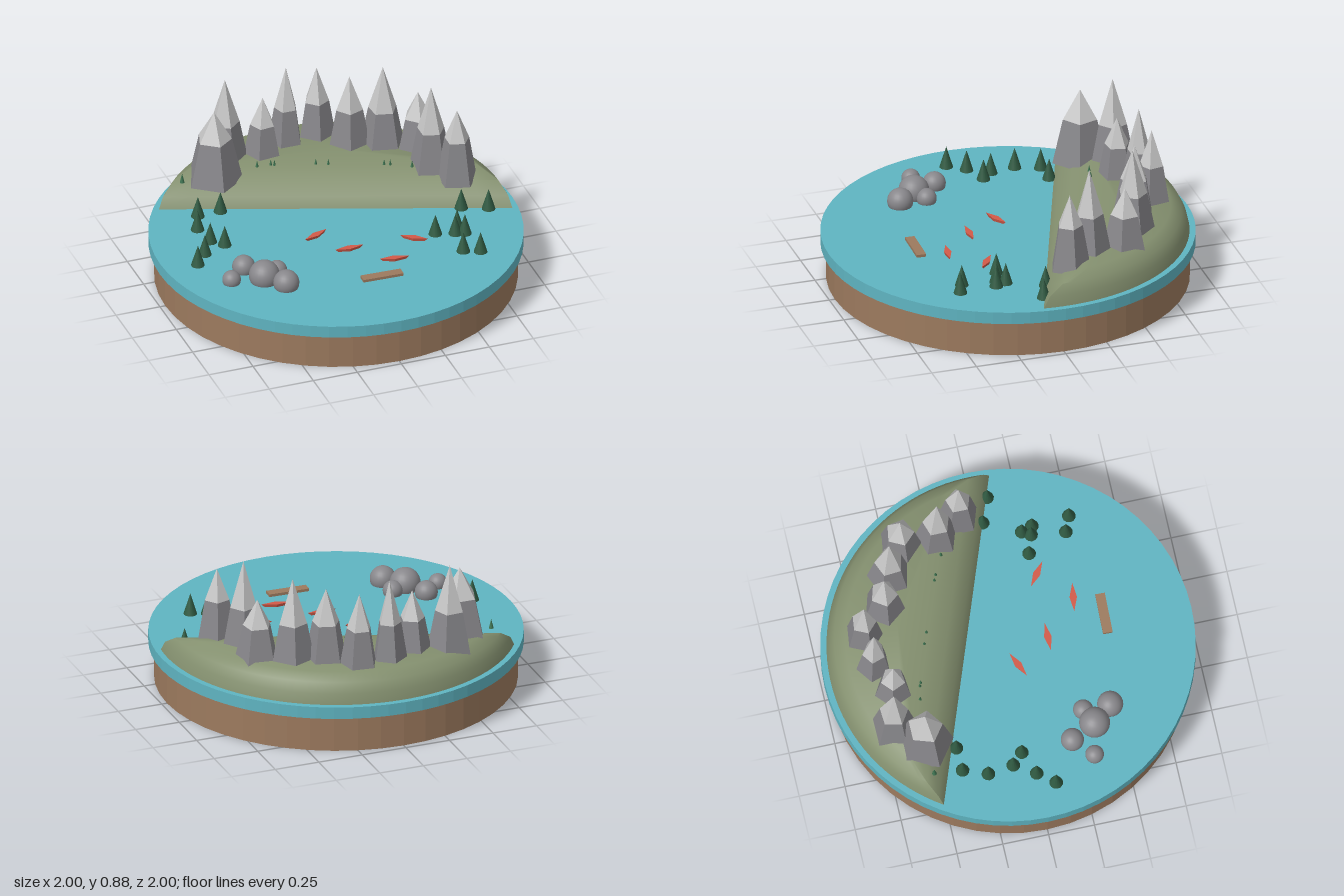
import * as THREE from 'three';
import { toCreasedNormals } from 'three/addons/utils/BufferGeometryUtils.js';

const WATER_Y = 0.267;

function flat(geo) {
  const g = geo.toNonIndexed();
  g.computeVertexNormals();
  return g;
}

// Half-moon plateau: outline rings of an arc closed by a chord, inset step by step
function shoreGeometry() {
  const rings = [ // y, inset from arc, inset from chord
    [WATER_Y, 0, 0], [0.325, 0.013, 0.03], [0.38, 0.042, 0.1], [0.417, 0.1, 0.2]
  ];
  const R = 0.967, chordDist = 0.223, facing = Math.atan2(-0.9405, 0.34);
  const ARC = 48, CHORD = 12, N = ARC + CHORD;
  const pos = [], index = [];
  for (const [y, dArc, dChord] of rings) {
    const r = R - dArc, half = Math.acos((chordDist + dChord) / r);
    const at = (a) => new THREE.Vector3(r * Math.cos(a), y, r * Math.sin(a));
    const start = at(facing - half), end = at(facing + half);
    for (let i = 0; i < ARC; i++) pos.push(...at(facing - half + (2 * half * i) / ARC).toArray());
    for (let i = 0; i < CHORD; i++) pos.push(...end.clone().lerp(start, i / CHORD).toArray());
  }
  const top = (rings.length - 1) * N, centre = rings.length * N;
  pos.push(0.2, 0.418, -0.56);
  for (let i = 0; i < N; i++) {
    const j = (i + 1) % N;
    for (let k = 0; k < top; k += N) {
      index.push(k + i, k + N + i, k + j, k + N + i, k + N + j, k + j);
    }
    index.push(centre, top + j, top + i);
  }
  const g = new THREE.BufferGeometry();
  g.setAttribute('position', new THREE.Float32BufferAttribute(pos, 3));
  g.setIndex(index);
  return toCreasedNormals(g, 1.0);
}

export function createModel() {
  const root = new THREE.Group();
  const mat = (name, color) => {
    const m = new THREE.MeshStandardMaterial({ color });
    m.name = name;
    return m;
  };
  const earth = mat('earth brown', 0x9c7a5e);
  const water = mat('water blue', 0x5fb4c1);
  const grass = mat('moss green', 0x84906f);
  const stone = mat('stone grey', 0x88878b);
  const snow = mat('snow', 0xc8c8c8);
  const pine = mat('pine green', 0x305a42);
  const sapling = mat('sapling green', 0x3f7452);
  const red = mat('boat red', 0xd25a48);

  const add = (name, geo, material, x = 0, y = 0, z = 0, parent = root) => {
    const m = new THREE.Mesh(geo, material);
    m.name = name;
    m.position.set(x, y, z);
    parent.add(m);
    return m;
  };

  // Ground disc, lake and raised shore
  add('groundDisc', flat(new THREE.CylinderGeometry(0.97, 0.97, 0.2, 48)), earth, 0, 0.1, 0);
  add('lake', flat(new THREE.CylinderGeometry(1, 1, WATER_Y - 0.2, 64)), water, 0, (WATER_Y + 0.2) / 2, 0);
  add('shore', shoreGeometry(), grass);

  // Mountains: x, z, peak height, base radius, angle of one corner in degrees
  const mountains = [
    [-0.485, -0.56, 0.785, 0.155, 90], [-0.37, -0.705, 0.88, 0.128, 230],
    [-0.17, -0.665, 0.75, 0.11, 264], [-0.012, -0.735, 0.865, 0.102, 270],
    [0.167, -0.75, 0.82, 0.11, -47], [0.302, -0.61, 0.815, 0.122, 250],
    [0.468, -0.545, 0.875, 0.128, -5], [0.632, -0.45, 0.74, 0.126, -45],
    [0.632, -0.25, 0.88, 0.122, 0], [0.728, -0.11, 0.795, 0.112, 0]
  ];
  for (const [x, z, peak, r, deg] of mountains) {
    const g = new THREE.Group();
    g.name = 'mountain';
    g.position.set(x, 0, z);
    root.add(g);
    const base = 0.37, line = peak < 0.76 ? 0.59 : 0.62, rs = r * 0.62;
    const turn = Math.PI / 2 - THREE.MathUtils.degToRad(deg);
    const slope = new THREE.CylinderGeometry(rs, r, line - base, 5, 1, true, turn);
    const cap = new THREE.ConeGeometry(rs, peak - line, 5, 1, true, turn);
    add('mountainSlope', flat(slope), stone, 0, (base + line) / 2, 0, g);
    add('snowCap', flat(cap), snow, 0, (line + peak) / 2, 0, g);
  }

  // Pine trees at the water's edge
  const pines = [
    [-0.64, -0.39], [-0.51, -0.395], [-0.69, -0.26], [-0.67, -0.12], [-0.61, -0.06],
    [-0.742, -0.008], [-0.815, 0.082], [0.705, 0.018], [0.84, 0.072], [0.482, 0.222],
    [0.61, 0.21], [0.583, 0.255], [0.632, 0.27], [0.56, 0.44], [0.645, 0.475]
  ];
  const pineGeo = new THREE.ConeGeometry(0.037, 0.12, 12);
  for (const [x, z] of pines) add('pineTree', pineGeo, pine, x, WATER_Y + 0.06, z);

  // Saplings on the shore
  const saplings = [
    [-0.67, -0.55], [-0.25, -0.535], [-0.178, -0.52], [-0.16, -0.512], [0.05, -0.445],
    [0.112, -0.42], [0.39, -0.315], [0.42, -0.302], [0.525, -0.25]
  ];
  const saplingGeo = new THREE.ConeGeometry(0.013, 0.055, 8);
  for (const [x, z] of saplings) add('sapling', saplingGeo, sapling, x, 0.422, z);

  // Rounded boulders: x, z, radius
  const boulders = [
    [-0.605, 0.217, 0.062], [-0.71, 0.315, 0.05], [-0.538, 0.353, 0.083],
    [-0.45, 0.31, 0.054], [-0.452, 0.457, 0.07]
  ];
  for (const [x, z, r] of boulders) {
    add('boulder', new THREE.SphereGeometry(r, 24, 16), stone, x, WATER_Y + 0.4 * r, z);
  }

  // Diamond-shaped boats: x, z, length, heading
  const boats = [
    [-0.125, 0.028, 0.158, 0.42], [-0.005, 0.216, 0.16, 0],
    [0.355, 0.235, 0.155, -0.62], [0.185, 0.397, 0.162, -0.15]
  ];
  for (const [x, z, len, heading] of boats) {
    const hull = new THREE.CylinderGeometry(1, 0.75, 0.018, 4);
    hull.scale(len / 2, 1, 0.02);
    add('boat', flat(hull), red, x, WATER_Y + 0.008, z).rotation.y = heading;
  }

  // Wooden landing
  add('dock', new THREE.BoxGeometry(0.225, 0.016, 0.052), earth, 0.062, WATER_Y + 0.007, 0.537).rotation.y = -0.03;

  return root;
}
